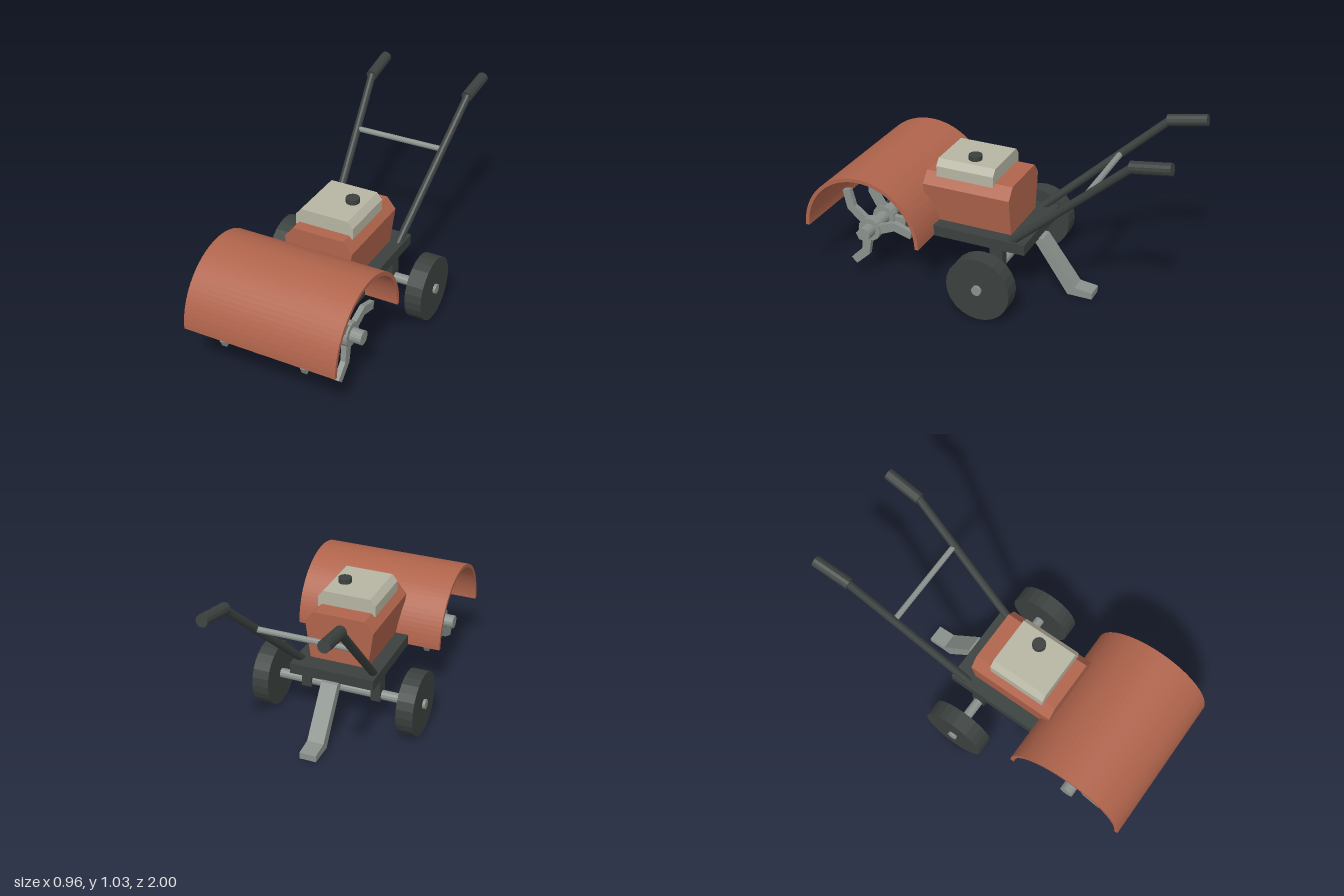
import * as THREE from 'three';

const mat = (color) => new THREE.MeshStandardMaterial({ color, flatShading: true });

export function createModel() {
  const root = new THREE.Group();
  const red = mat(0xb0644c), dark = mat(0x3b413f), steel = mat(0x8a918c), cream = mat(0xb7b5a3);

  const add = (name, geometry, material, parent = root) => {
    const mesh = new THREE.Mesh(geometry, material);
    mesh.name = name;
    parent.add(mesh);
    return mesh;
  };
  const box = (name, size, pos, material) =>
    add(name, new THREE.BoxGeometry(...size), material).position.set(...pos);

  // Cylinder running between two points
  const rod = (name, a, b, r, sides, material, parent) => {
    const p = new THREE.Vector3(...a), q = new THREE.Vector3(...b);
    const mesh = add(name, new THREE.CylinderGeometry(r, r, p.distanceTo(q), sides), material, parent);
    mesh.position.copy(p).lerp(q, 0.5);
    mesh.quaternion.setFromUnitVectors(new THREE.Vector3(0, 1, 0), q.sub(p).normalize());
    return mesh;
  };
  const toShape = (pts) => new THREE.Shape(pts.map(([x, y]) => new THREE.Vector2(x, y)));
  const extrude = (shape, depth, curveSegments = 12) =>
    new THREE.ExtrudeGeometry(shape, { depth, bevelEnabled: false, curveSegments }).translate(0, 0, -depth / 2);
  // Side profile given as [z, y], extruded across x
  const sideProfile = (pts, width) => extrude(toShape(pts.map(([z, y]) => [-z, y])), width).rotateY(Math.PI / 2);

  // Frame plate and gearbox arm
  box('frame', [0.48, 0.06, 0.7], [0, 0.332, 0.133], dark);
  add('gearboxArm', sideProfile([
    [0.735, 0.265], [0.675, 0.395], [0.48, 0.465], [0.39, 0.44], [0.3, 0.36], [0.3, 0.3], [0.48, 0.3], [0.6, 0.265],
  ], 0.112), dark);

  // Engine housing, tank and filler cap
  const halfProfile = (pts) => toShape([...pts, ...pts.map(([x, y]) => [-x, y]).reverse()]);
  add('engineHousing', extrude(halfProfile([[0.165, 0.36], [0.195, 0.575], [0.145, 0.637]]), 0.5), red)
    .position.z = 0.142;
  add('fuelTank', extrude(halfProfile([[0.165, 0.62], [0.165, 0.68], [0.135, 0.716]]), 0.33), cream)
    .position.z = 0.16;
  rod('fuelCap', [0.068, 0.71, 0.14], [0.068, 0.743, 0.14], 0.037, 12, dark);

  // Half-round tine guard
  const arc = new THREE.Shape();
  arc.absarc(0, 0, 0.345, 0, Math.PI, false);
  arc.absarc(0, 0, 0.324, Math.PI, 0, true);
  add('tineGuard', extrude(arc, 0.85, 20).rotateY(Math.PI / 2), red).position.set(0, 0.306, 0.655);

  // Tine shaft with four hubs of three bent blades
  const rotor = new THREE.Group();
  rotor.name = 'tineRotor';
  rotor.position.set(0, 0.306, 0.655);
  root.add(rotor);
  rod('tineShaft', [-0.4, 0, 0], [0.4, 0, 0], 0.038, 16, steel, rotor);
  const blade = extrude(toShape([
    [0.045, -0.028], [0.15, 0.008], [0.243, -0.025], [0.257, 0.018], [0.155, 0.058], [0.045, 0.028],
  ]), 0.029);
  [-0.313, -0.157, 0.157, 0.313].forEach((x, i) => {
    rod('tineHub', [x - 0.024, 0, 0], [x + 0.024, 0, 0], 0.066, 16, steel, rotor);
    for (let k = 0; k < 3; k++) {
      const angle = THREE.MathUtils.degToRad((i % 2 ? 4 : -16) + k * 120);
      const geometry = blade.clone().rotateZ(angle).rotateY(Math.PI / 2);
      add('tineBlade', geometry, steel, rotor).position.x = x;
    }
  });

  // Axle, wheels, brackets, handles and grips
  rod('axle', [-0.48, 0.18, -0.05], [0.48, 0.18, -0.05], 0.027, 12, steel);
  for (const s of [1, -1]) {
    const side = s > 0 ? 'left' : 'right';
    rod(side + 'Wheel', [s * 0.37, 0.179, -0.05], [s * 0.465, 0.179, -0.05], 0.179, 24, dark);
    box(side + 'AxleBracket', [0.055, 0.155, 0.075], [s * 0.202, 0.232, -0.05], dark);
    rod(side + 'Handle', [s * 0.207, 0.345, -0.12], [s * 0.298, 0.968, -0.8], 0.022, 12, dark);
    rod(side + 'Grip', [s * 0.296, 0.963, -0.785], [s * 0.305, 0.998, -0.994], 0.032, 12, dark);
  }
  rod('handleCrossbar', [-0.258, 0.738, -0.55], [0.258, 0.738, -0.55], 0.016, 10, steel);

  // Rear drag stake
  add('dragStake', sideProfile([
    [-0.18, 0.305], [-0.24, 0.305], [-0.43, 0.048], [-0.53, 0.036], [-0.53, 0], [-0.39, 0],
  ], 0.094), steel);

  return root;
}
